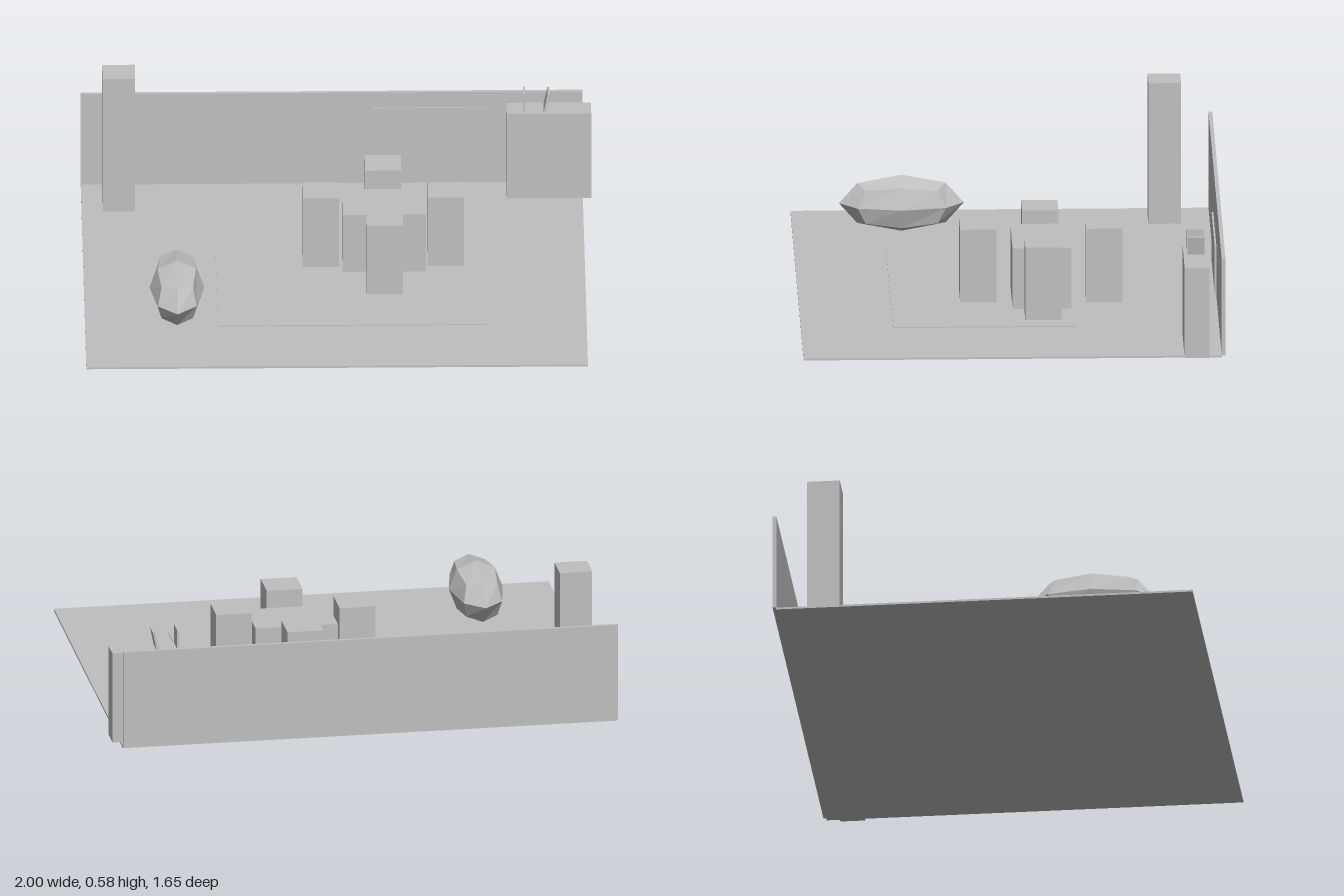
import * as THREE from 'three';

export function createModel() {
  const room = new THREE.Group();
  room.name = 'room';
  const grey = new THREE.MeshStandardMaterial({ color: 0xbfbfbf });
  grey.name = 'plain grey';

  // Box given by its extents on each axis
  function block(name, [x0, x1], [y0, y1], [z0, z1]) {
    const mesh = new THREE.Mesh(new THREE.BoxGeometry(x1 - x0, y1 - y0, z1 - z0), grey);
    mesh.position.set((x0 + x1) / 2, (y0 + y1) / 2, (z0 + z1) / 2);
    mesh.name = name;
    room.add(mesh);
    return mesh;
  }

  // Floor, rug and back wall
  const floorTop = 0.008;
  block('floor', [-1, 0.965], [0, floorTop], [-0.815, 0.825]);
  block('rug', [-0.48, 0.57], [floorTop, 0.012], [-0.25, 0.465]);
  block('backWall', [-1, 0.965], [floorTop, 0.402], [-0.828, -0.813]);
  block('wallBoard', [0.145, 0.605], [0.145, 0.342], [-0.802, -0.795]);

  // Table with a chair on each side
  block('table', [0.015, 0.342], [floorTop, 0.26], [-0.24, -0.01]);
  const half = 0.071;
  for (const [name, x, z] of [
    ['leftChair', 0.42, -0.127], ['rightChair', -0.07, -0.127],
    ['frontChair', 0.178, 0.122], ['backChair', 0.178, -0.372],
  ]) block(name, [x - half, x + half], [floorTop, 0.31], [z - half, z + half]);

  // Tall cabinet and counter
  block('tallCabinet', [-0.918, -0.79], [floorTop, 0.584], [-0.7, -0.572]);
  block('counter', [0.667, 0.998], [floorTop, 0.377], [-0.765, -0.667]);

  // Upright and leaning panels on the counter
  block('uprightPanel', [0.731, 0.739], [0.375, 0.455], [-0.75, -0.682]);
  const leaning = block('leaningPanel', [0.819, 0.828], [0.375, 0.453], [-0.75, -0.682]);
  leaning.rotation.z = -0.2;

  // Faceted beanbag: a subdivided cube pushed out to an ellipsoid
  const bag = new THREE.BoxGeometry(1, 1, 1, 2, 2, 2).toNonIndexed();
  const p = bag.attributes.position;
  const v = new THREE.Vector3();
  for (let i = 0; i < p.count; i++) {
    v.fromBufferAttribute(p, i).normalize();
    p.setXYZ(i, v.x * 0.107, v.y * 0.115, v.z * 0.245);
  }
  bag.computeVertexNormals();
  const beanbag = new THREE.Mesh(bag, grey);
  beanbag.position.set(-0.64, 0.149, 0.4);
  beanbag.name = 'beanbag';
  room.add(beanbag);

  return room;
}
